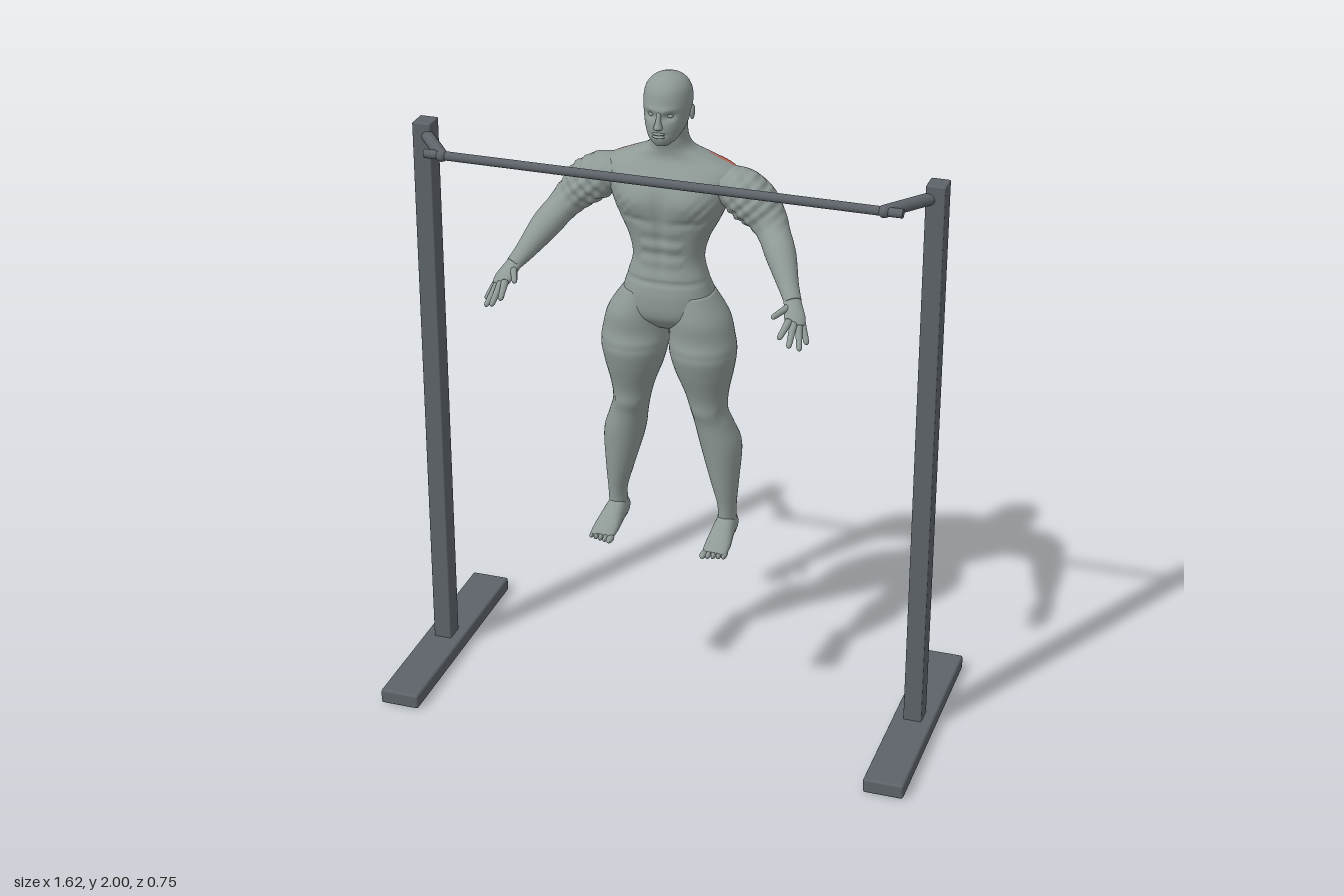
import * as THREE from 'three';
import { RoundedBoxGeometry } from 'three/addons/geometries/RoundedBoxGeometry.js';

const material = (name, color) => {
  const m = new THREE.MeshStandardMaterial({ color });
  m.name = name;
  return m;
};
const V = (x, y, z) => new THREE.Vector3(x, y, z);
const bell = (v, mid, width) => Math.exp(-(((v - mid) / width) ** 2));

// Smooth interpolation through rows of numbers
function smoothRows(rows, steps) {
  const out = [];
  const at = i => rows[Math.max(0, Math.min(rows.length - 1, i))];
  for (let i = 0; i < rows.length - 1; i++) {
    for (let k = 0; k < steps; k++) {
      const t = k / steps;
      out.push(rows[i].map((b, c) => {
        const a = at(i - 1)[c], d = at(i + 1)[c], e = at(i + 2)[c];
        return b + 0.5 * t * (d - a + t * (2 * a - 5 * b + 4 * d - e + t * (3 * (b - d) + e - a)));
      }));
    }
  }
  out.push(rows[rows.length - 1]);
  return out;
}

// Closed skin over rows of [x, y, z, half width, half depth]; tilted rings follow the path
function loft(rows, { tilted = false, sides = 24, steps = 5, power = 2, rule = null } = {}) {
  const rings = smoothRows(rows, steps);
  const pos = [], idx = [], n = rings.length;
  const centre = i => V(rings[i][0], rings[i][1], rings[i][2]);
  rings.forEach((r, i) => {
    const u = V(1, 0, 0), v = V(0, 0, 1), c = centre(i);
    if (tilted) {
      const t = centre(Math.min(n - 1, i + 1)).sub(centre(Math.max(0, i - 1))).normalize();
      u.crossVectors(t, V(0, 1, 0)).normalize();
      v.crossVectors(u, t);
    }
    for (let j = 0; j < sides; j++) {
      const a = (j / sides) * Math.PI * 2;
      const bend = q => Math.sign(q) * Math.abs(q) ** (2 / power);
      const p = c.clone().addScaledVector(u, bend(Math.cos(a)) * r[3]).addScaledVector(v, bend(Math.sin(a)) * r[4]);
      if (rule) rule(p, c);
      pos.push(p.x, p.y, p.z);
      if (i < n - 1) {
        const k = (j + 1) % sides, A = i * sides + j, B = i * sides + k;
        idx.push(A, A + sides, B, B, A + sides, B + sides);
      }
    }
  });
  const first = centre(0), last = centre(n - 1), base = n * sides;
  pos.push(first.x, first.y, first.z, last.x, last.y, last.z);
  for (let j = 0; j < sides; j++) {
    const k = (j + 1) % sides;
    idx.push(base, j, k, base + 1, (n - 1) * sides + k, (n - 1) * sides + j);
  }
  const g = new THREE.BufferGeometry();
  g.setAttribute('position', new THREE.Float32BufferAttribute(pos, 3));
  g.setIndex(idx);
  g.computeVertexNormals();
  return g;
}

// Sort faces into material groups: 0 skin, 1 blend, 2 worked muscle
function paint(g, depth) {
  const bins = [[], [], []], p = g.attributes.position, ix = g.index.array;
  for (let i = 0; i < ix.length; i += 3) {
    const f = [ix[i], ix[i + 1], ix[i + 2]];
    const mid = V(0, 0, 0);
    f.forEach(q => mid.add(V(p.getX(q), p.getY(q), p.getZ(q)).divideScalar(3)));
    const d = depth(mid);
    bins[d > 0.014 ? 2 : d > 0 ? 1 : 0].push(...f);
  }
  g.setIndex(bins.flat());
  let start = 0;
  bins.forEach((b, m) => { g.addGroup(start, b.length, m); start += b.length; });
  return g;
}

export function createModel() {
  const skin = material('greySkin', 0x8f9a97);
  const blend = material('blendedMuscle', 0xb27468);
  const red = material('redMuscle', 0xd9402e);
  const steel = material('darkSteel', 0x5d6369);
  const muscle = [skin, blend, red];

  const model = new THREE.Group();
  model.name = 'pullUpExercise';
  const figure = new THREE.Group(), frame = new THREE.Group();
  figure.name = 'figure';
  frame.name = 'pullUpFrame';
  model.add(figure, frame);
  const add = (parent, name, geometry, mat) => {
    const m = new THREE.Mesh(geometry, mat);
    m.name = name;
    parent.add(m);
    return m;
  };
  const blob = (name, x, y, z, rx, ry, rz) => {
    const m = add(figure, name, new THREE.SphereGeometry(1, 20, 14), skin);
    m.position.set(x, y, z);
    m.scale.set(rx, ry, rz);
    return m;
  };
  const rod = (name, a, b, r) => {
    const m = add(frame, name, new THREE.CylinderGeometry(r, r, a.distanceTo(b), 20), steel);
    m.position.copy(a).add(b).multiplyScalar(0.5);
    m.quaternion.setFromUnitVectors(V(0, 1, 0), b.clone().sub(a).normalize());
  };

  // Torso and neck with spine, chest, belly and seat grooves
  const torso = loft([
    [0, 1.25, 0.05, 0.04, 0.05], [0, 1.29, 0.05, 0.125, 0.085], [0, 1.345, 0.048, 0.132, 0.094],
    [0, 1.4, 0.055, 0.117, 0.08], [0, 1.46, 0.052, 0.102, 0.074], [0, 1.52, 0.047, 0.115, 0.082],
    [0, 1.58, 0.04, 0.145, 0.095], [0, 1.64, 0.034, 0.17, 0.105], [0, 1.69, 0.028, 0.187, 0.098],
    [0, 1.725, 0.022, 0.185, 0.078], [0, 1.752, 0.022, 0.13, 0.06], [0, 1.778, 0.03, 0.072, 0.05],
    [0, 1.81, 0.04, 0.052, 0.047], [0, 1.86, 0.05, 0.05, 0.046],
  ], {
    sides: 80, steps: 8, power: 2.3, rule: (p, c) => {
      const front = p.z > c.z, x = Math.abs(p.x), y = p.y;
      if (front) {
        p.z += 0.01 * bell(x, 0.08, 0.05) * bell(y, 1.64, 0.045);
        p.z -= 0.009 * bell(x, 0, 0.012) * bell(y, 1.58, 0.12);
        p.z -= 0.005 * bell(x, 0.075, 0.05) * bell(y, 1.585, 0.01);
        p.z -= 0.005 * bell(y, 1.4, 0.006);
        if (x < 0.06) p.z += 0.003 * Math.sin((y - 1.4) * 130) * bell(y, 1.5, 0.06);
        p.z += 0.004 * Math.sin(x * 190) * Math.sin(y * 170) * bell(x, 0.12, 0.04) * bell(y, 1.62, 0.04);
      } else {
        p.z += 0.042 * bell(x, 0, 0.024) * bell(y, 1.62, 0.13);
        p.z += 0.05 * bell(x, 0, 0.014) * bell(y, 1.31, 0.055);
      }
    },
  });
  add(figure, 'torso', paint(torso, p => Math.min(
    0.075 + (p.y - 1.45) * 0.62 - Math.abs(p.x), p.y - 1.445, 1.762 - p.y, 0.014 - p.z)), muscle);

  // Head with eye sockets, brow and mouth
  add(figure, 'head', loft([
    [0, 1.812, 0.105, 0.022, 0.028], [0, 1.83, 0.092, 0.042, 0.05], [0, 1.86, 0.072, 0.056, 0.073],
    [0, 1.89, 0.061, 0.063, 0.08], [0, 1.93, 0.055, 0.067, 0.08], [0, 1.965, 0.055, 0.06, 0.069],
    [0, 1.988, 0.055, 0.04, 0.046], [0, 2.0, 0.055, 0.01, 0.012],
  ], {
    sides: 56, steps: 7, rule: p => {
      if (p.z < 0.06) return;
      const x = Math.abs(p.x);
      p.z -= 0.012 * bell(x, 0.027, 0.014) * bell(p.y, 1.898, 0.01);
      p.z += 0.005 * bell(x, 0.02, 0.022) * bell(p.y, 1.914, 0.008);
      p.z -= 0.005 * bell(x, 0, 0.02) * bell(p.y, 1.846, 0.004);
    },
  }), skin);
  add(figure, 'nose', loft([
    [0, 1.862, 0.142, 0.008, 0.006], [0, 1.868, 0.145, 0.013, 0.014],
    [0, 1.885, 0.143, 0.008, 0.01], [0, 1.91, 0.136, 0.006, 0.006],
  ], { sides: 14 }), skin);
  for (const y of [1.85, 1.841]) blob('lip', 0, y, 0.142, 0.018, 0.0045, 0.007);

  for (const s of [1, -1]) {
    const side = rows => rows.map(([x, ...rest]) => [s * x, ...rest]);
    blob('eye', s * 0.026, 1.898, 0.119, 0.01, 0.006, 0.009);
    blob('ear', s * 0.066, 1.888, 0.045, 0.006, 0.021, 0.013).rotation.x = -0.2;

    // Leg from ankle to hip
    add(figure, 'leg', loft(side([
      [0.168, 0.585, 0.018, 0.026, 0.028], [0.168, 0.63, 0.02, 0.027, 0.034], [0.168, 0.68, 0.024, 0.028, 0.035],
      [0.16, 0.76, 0.023, 0.042, 0.049], [0.147, 0.87, 0.018, 0.06, 0.067], [0.13, 0.94, 0.03, 0.056, 0.062],
      [0.117, 0.99, 0.04, 0.054, 0.058], [0.111, 1.05, 0.045, 0.064, 0.068], [0.105, 1.12, 0.05, 0.085, 0.086],
      [0.102, 1.18, 0.053, 0.097, 0.096], [0.099, 1.23, 0.052, 0.094, 0.088], [0.093, 1.29, 0.05, 0.083, 0.091],
      [0.075, 1.36, 0.05, 0.055, 0.075],
    ]), {
      sides: 36, steps: 6, rule: p => {
        if (p.z > 0.08) p.z += 0.006 * bell(p.y, 0.99, 0.025) - 0.004 * bell(p.y, 1.185, 0.005);
        if (p.z < 0) p.z += 0.01 * bell(p.x, s * 0.147, 0.012) * bell(p.y, 0.85, 0.06);
      },
    }), skin);

    // Foot and toes
    add(figure, 'foot', loft(side([
      [0.168, 0.6, -0.02, 0.012, 0.015], [0.168, 0.603, -0.008, 0.026, 0.031], [0.168, 0.608, 0.03, 0.03, 0.038],
      [0.169, 0.602, 0.07, 0.033, 0.032], [0.171, 0.591, 0.115, 0.037, 0.021], [0.172, 0.584, 0.155, 0.036, 0.013],
      [0.172, 0.582, 0.165, 0.03, 0.008],
    ]), { tilted: true, power: 2.3 }), skin);
    for (let i = 0; i < 5; i++) {
      blob('toe', s * (0.143 + i * 0.0148), 0.58, 0.168 - i * 0.004, i ? 0.0075 : 0.01, 0.01, 0.022);
    }

    // Arm from shoulder to wrist with rippled upper muscle
    const arm = loft(side([
      [0.13, 1.685, 0.03, 0.06, 0.045], [0.175, 1.677, 0.028, 0.068, 0.057], [0.21, 1.664, 0.03, 0.073, 0.064],
      [0.25, 1.635, 0.036, 0.07, 0.063], [0.285, 1.6, 0.048, 0.057, 0.051], [0.312, 1.568, 0.072, 0.046, 0.043],
      [0.345, 1.525, 0.115, 0.042, 0.042], [0.383, 1.468, 0.172, 0.029, 0.029], [0.407, 1.437, 0.207, 0.024, 0.02],
    ]), {
      tilted: true, sides: 48, steps: 8, rule: (p, c) => {
        const lump = Math.sin(p.x * 150) * Math.sin(p.y * 160) * bell(Math.abs(c.x), 0.24, 0.05);
        if (p.z > c.z - 0.02) p.addScaledVector(p.clone().sub(c).normalize(), 0.006 * lump);
      },
    });
    add(figure, 'arm', paint(arm, p => Math.min(
      0.27 - Math.abs(p.x), 1.71 - p.y, p.y - 1.57, 0.008 - p.z)), muscle);

    // Hand with spread fingers
    add(figure, 'palm', loft(side([
      [0.4, 1.445, 0.197, 0.023, 0.019], [0.412, 1.427, 0.22, 0.026, 0.017],
      [0.425, 1.405, 0.247, 0.029, 0.014], [0.432, 1.392, 0.262, 0.022, 0.009],
    ]), { tilted: true }), skin);
    const fingers = [
      [[0.44, 1.402, 0.238], [0.467, 1.347, 0.272]], [[0.436, 1.396, 0.25], [0.455, 1.341, 0.305]],
      [[0.425, 1.398, 0.26], [0.43, 1.355, 0.325]], [[0.412, 1.404, 0.262], [0.402, 1.377, 0.325]],
      [[0.402, 1.43, 0.22], [0.372, 1.42, 0.29]],
    ];
    fingers.forEach(([a, b], i) => {
      const row = (t, r) => [...a.map((v, c) => v + (b[c] - v) * t), r, r];
      add(figure, i === 4 ? 'thumb' : 'finger', loft(side(
        [row(0, 0.011), row(0.5, 0.009), row(0.9, 0.0075), row(1, 0.003)]), { tilted: true, sides: 12 }), skin);
    });

    // Upright, floor foot and angled bar holder
    add(frame, 'post', new RoundedBoxGeometry(0.055, 1.71, 0.064, 2, 0.004), steel).position.set(s * 0.749, 0.895, 0);
    add(frame, 'baseFoot', new RoundedBoxGeometry(0.12, 0.046, 0.746, 2, 0.008), steel).position.set(s * 0.749, 0.027, 0);
    rod('barHolder', V(s * 0.735, 1.71, 0.02), V(s * 0.638, 1.71, 0.147), 0.018);
    const joint = add(frame, 'barJoint', new THREE.SphereGeometry(0.018, 16, 12), steel);
    joint.position.set(s * 0.638, 1.71, 0.147);
  }
  rod('pullUpBar', V(-0.69, 1.71, 0.147), V(0.69, 1.71, 0.147), 0.013);
  return model;
}
